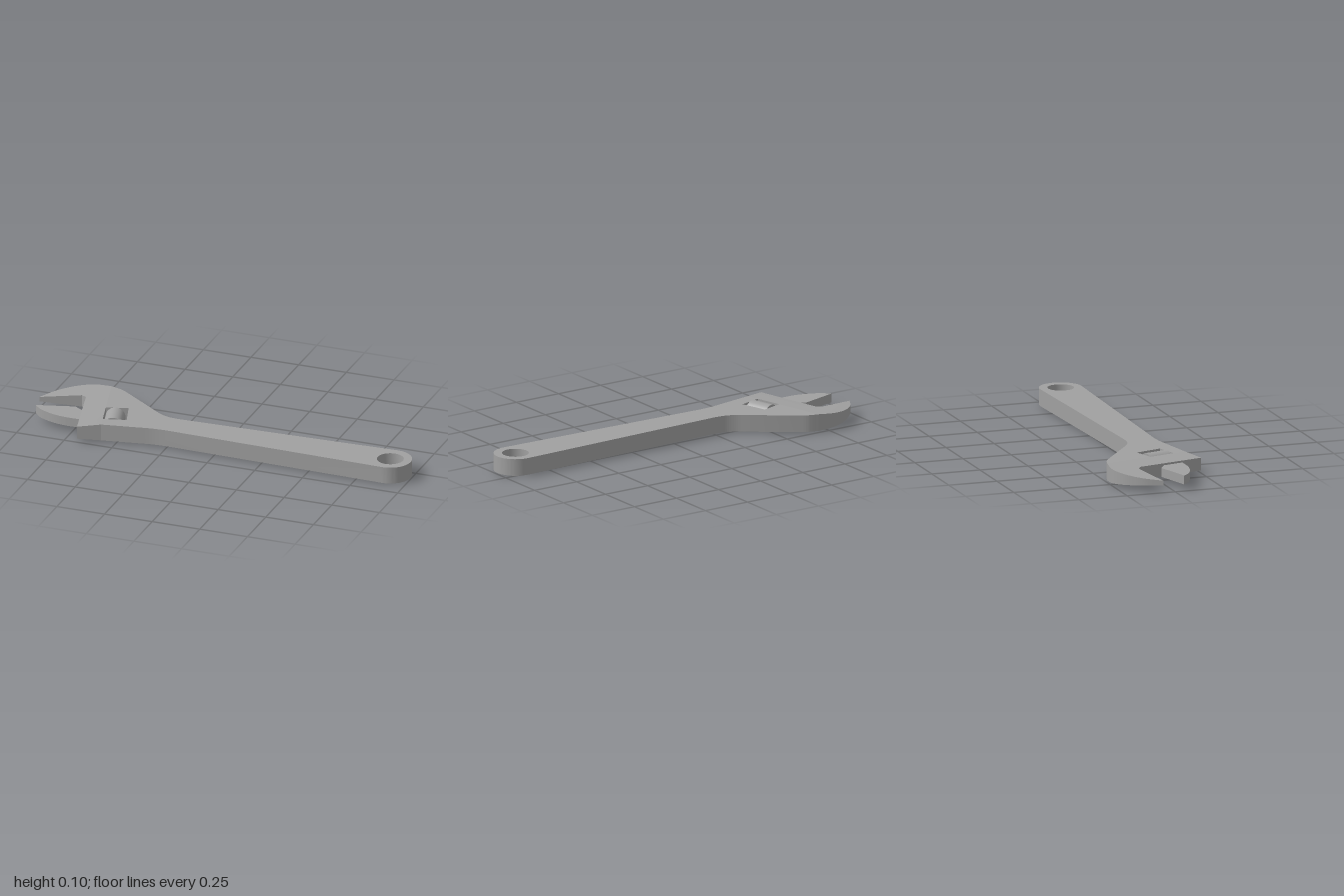
import * as THREE from 'three';
import { toCreasedNormals } from 'three/addons/utils/BufferGeometryUtils.js';

const MID = 0.0495;   // middle height of the tool
const HALF = 0.0425;  // half thickness of the handle
const TILT = Math.PI / 12; // slant of the jaw slide
const steel = new THREE.MeshStandardMaterial({ color: 0xa0a0a0 });
steel.name = 'steel';

// Outlines are written as (x, z) seen from above
const P = (x, z) => new THREE.Vector2(x, -z);
const line = (s, ...pts) => pts.forEach(([x, z]) => s.lineTo(x, -z));
const spline = (s, ...pts) => s.splineThru(pts.map(([x, z]) => P(x, z)));
const start = (x, z) => { const s = new THREE.Shape(); s.moveTo(x, -z); return s; };

// Flat plate around MID; halfAt gives the half thickness at any (x, z)
function plate(name, shape, halfAt) {
  const g = new THREE.ExtrudeGeometry(shape, { depth: 2, bevelEnabled: false, curveSegments: 20 });
  g.translate(0, 0, -1);
  g.rotateX(-Math.PI / 2);
  const p = g.attributes.position;
  for (let i = 0; i < p.count; i++) {
    p.setY(i, MID + Math.sign(p.getY(i)) * halfAt(p.getX(i), p.getZ(i)));
  }
  g.computeVertexNormals();
  const mesh = new THREE.Mesh(toCreasedNormals(g, 0.5), steel);
  mesh.name = name;
  return mesh;
}

export function createModel() {
  const group = new THREE.Group();
  group.name = 'adjustableWrench';

  // Handle, with the worm slot as a notch where it meets the head
  const handle = start(-0.575, 0.2);
  spline(handle, [-0.42, 0.172], [-0.33, 0.156], [-0.26, 0.151]);
  line(handle, [0.888, 0.179]);
  handle.absarc(0.893, -0.072, 0.107, -Math.PI / 2, Math.PI / 2, false);
  line(handle, [-0.24, 0.003]);
  spline(handle, [-0.30, -0.003], [-0.35, -0.024], [-0.395, -0.056]);
  line(handle, [-0.598, -0.205]);
  spline(handle, [-0.64, -0.229], [-0.69, -0.244]);
  line(handle, [-0.627, 0.003], [-0.519, -0.03], [-0.478, 0.104], [-0.592, 0.136]);
  handle.closePath();
  const hole = new THREE.Path();
  hole.absarc(0.893, -0.072, 0.066, 0, Math.PI * 2, true);
  handle.holes.push(hole);
  group.add(plate('handle', handle, () => HALF));

  // Head with the fixed jaw, thinning toward the tip
  const head = start(-0.575, 0.2);
  line(head, [-0.69, -0.244]);
  spline(head, [-0.755, -0.251], [-0.80, -0.246], [-0.85, -0.227], [-0.90, -0.193], [-0.95, -0.142], [-1, -0.062]);
  line(head, [-0.797, -0.117], [-0.77, -0.1], [-0.685, 0.245]);
  head.closePath();
  const slant = (x, z) => -x * Math.cos(TILT) + z * Math.sin(TILT);
  group.add(plate('fixedJaw', head, (x, z) => HALF - 0.09 * Math.max(0, slant(x, z) - 0.608)));

  // Sliding jaw, its root buried in the head
  const jaw = start(-0.973, 0.056);
  line(jaw, [-0.786, 0.003], [-0.735, 0.035], [-0.66, 0.03], [-0.63, 0.13], [-0.70, 0.138]);
  spline(jaw, [-0.79, 0.138], [-0.86, 0.125], [-0.93, 0.095], [-0.973, 0.056]);
  group.add(plate('slidingJaw', jaw, () => 0.0225));

  // Adjusting worm
  const g = new THREE.CylinderGeometry(0.049, 0.049, 0.123, 40);
  g.rotateX(Math.PI / 2);
  g.rotateY(TILT);
  const worm = new THREE.Mesh(g, steel);
  worm.name = 'adjustingWorm';
  worm.position.set(-0.561, MID, 0.058);
  group.add(worm);

  return group;
}
